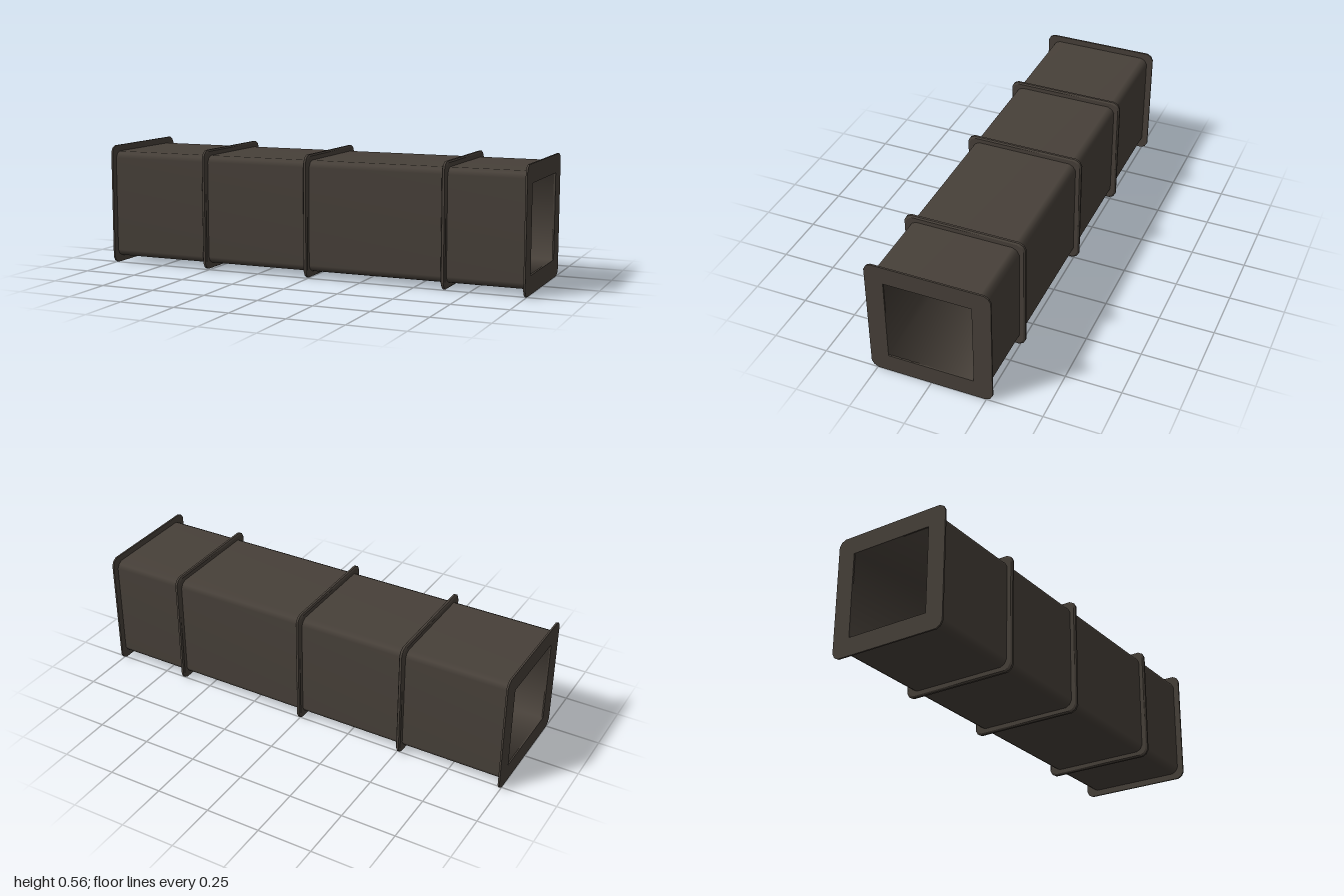
import * as THREE from 'three';

const CENTER_Y = 0.278;
const HOLE = 0.195;

// Square outline with two-step cut corners, counter-clockwise
function roundedSquare(half) {
  const a = half - 0.03, b = half - 0.0105;
  const corner = [[half, a], [b, b], [a, half]];
  const points = [];
  for (let q = 0; q < 4; q++) {
    for (const [u, v] of corner) {
      points.push([[u, v], [-v, u], [-u, -v], [v, -u]][q]);
    }
  }
  return points;
}

const square = (h) => [[h, h], [-h, h], [-h, -h], [h, -h]];

// Band joining two outlines along x, smooth around the outline
function band(x0, outline0, x1, outline1, inward = false) {
  const n = outline0.length;
  const positions = [], index = [];
  for (const [x, outline] of [[x0, outline0], [x1, outline1]]) {
    for (const [y, z] of outline) positions.push(x, y, z);
  }
  for (let i = 0; i < n; i++) {
    const j = (i + 1) % n;
    if (inward) index.push(i, j + n, j, i, i + n, j + n);
    else index.push(i, j, j + n, i, j + n, i + n);
  }
  const geometry = new THREE.BufferGeometry();
  geometry.setAttribute('position', new THREE.Float32BufferAttribute(positions, 3));
  geometry.setIndex(index);
  geometry.computeVertexNormals();
  return geometry;
}

// Flat end frame with a square opening
function flangeGeometry(thickness) {
  const toVectors = (list) => list.map(([u, v]) => new THREE.Vector2(u, v));
  const shape = new THREE.Shape(toVectors(roundedSquare(0.278)));
  shape.holes.push(new THREE.Path(toVectors(square(HOLE))));
  const geometry = new THREE.ExtrudeGeometry(shape, { depth: thickness, bevelEnabled: false });
  geometry.translate(0, 0, -thickness / 2);
  return geometry.rotateY(Math.PI / 2);
}

export function createModel() {
  const metal = new THREE.MeshStandardMaterial({ color: 0x474039 });
  metal.name = 'dark duct metal';

  const duct = new THREE.Group();
  duct.name = 'squareDuct';
  const add = (name, geometry, parent = duct) => {
    const mesh = new THREE.Mesh(geometry, metal);
    mesh.name = name;
    parent.add(mesh);
    return mesh;
  };

  // Outer casing and inner lining
  const outer = roundedSquare(0.249);
  add('casing', band(-0.994, outer, 0.994, outer));
  add('lining', band(-0.994, square(HOLE), 0.994, square(HOLE), true));

  // End flanges
  const thickness = 0.008;
  for (const side of [-1, 1]) {
    add(side < 0 ? 'rightFlange' : 'leftFlange', flangeGeometry(thickness))
      .position.x = side * (1 - thickness / 2);
  }

  // Raised seam ribs with bevelled rims: [x offset, half size]
  const ribProfile = [[-0.01, 0.245], [-0.01, 0.268], [-0.005, 0.275],
    [0.005, 0.275], [0.01, 0.268], [0.01, 0.245]];
  for (const x of [-0.512, -0.004, 0.638]) {
    const rib = new THREE.Group();
    rib.name = 'seamRib';
    rib.position.x = x;
    for (let i = 0; i < ribProfile.length - 1; i++) {
      const [x0, h0] = ribProfile[i], [x1, h1] = ribProfile[i + 1];
      add('ribFace', band(x0, roundedSquare(h0), x1, roundedSquare(h1)), rib);
    }
    duct.add(rib);
  }

  duct.position.y = CENTER_Y;
  const model = new THREE.Group();
  model.name = 'ductSection';
  model.add(duct);
  return model;
}
